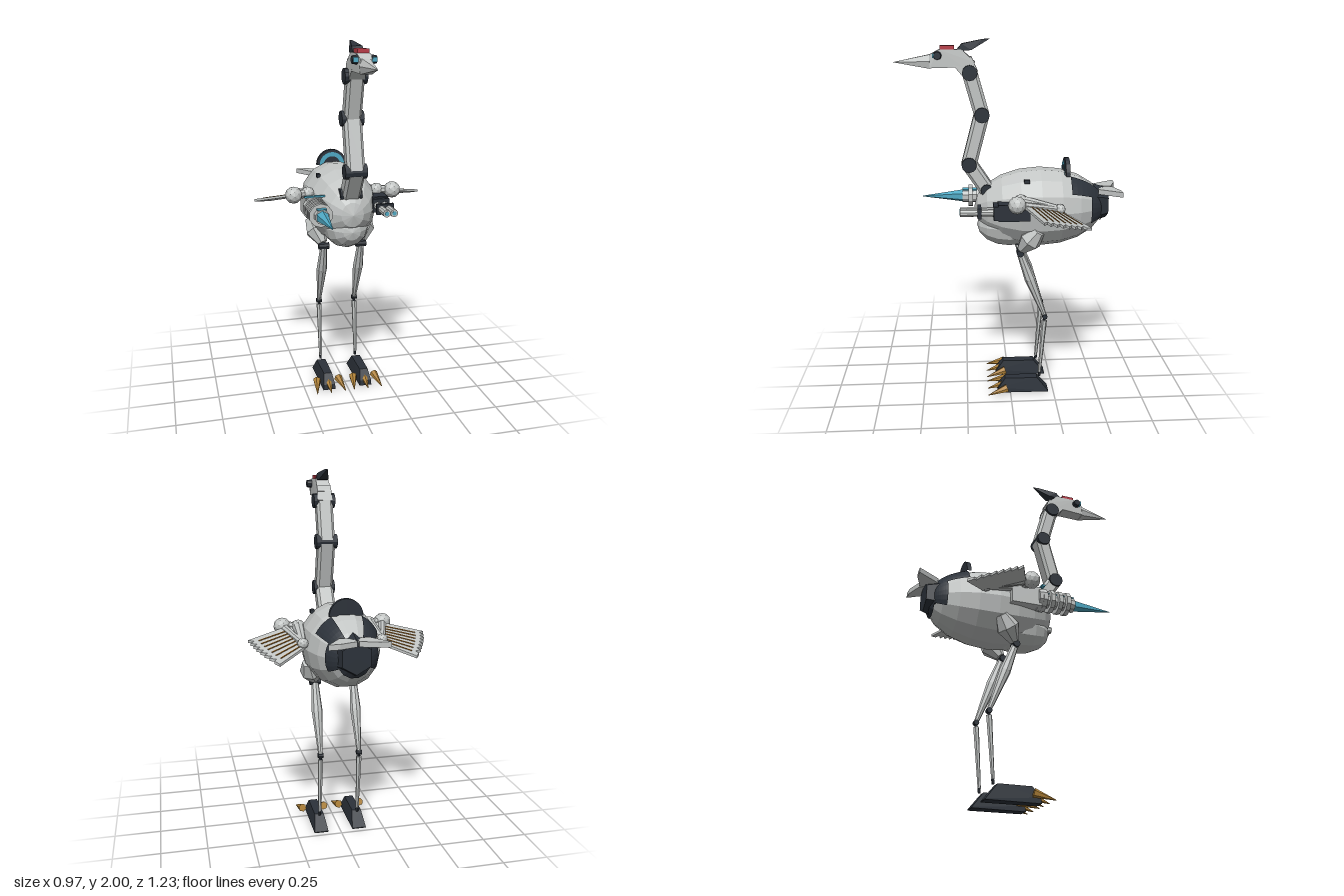
import * as THREE from 'three';
import { ConvexGeometry } from 'three/addons/geometries/ConvexGeometry.js';

const paint = (name, color) => {
  const m = new THREE.MeshStandardMaterial({ color, flatShading: true });
  m.name = name;
  return m;
};
const V = (x, y, z) => new THREE.Vector3(x, y, z);

export function createModel() {
  const light = paint('light grey', 0xc2c5c4);
  const dark = paint('charcoal', 0x2c323a);
  const teal = paint('teal', 0x4fa9c4);
  const red = paint('red', 0xb93c48);
  const gold = paint('gold', 0xb08238);
  const brown = paint('brown', 0x85581f);

  const model = new THREE.Group();
  model.name = 'mechanicalBird';

  const add = (name, geo, mat, x = 0, y = 0, z = 0) => {
    const m = new THREE.Mesh(geo, mat);
    m.name = name;
    m.position.set(x, y, z);
    model.add(m);
    return m;
  };
  const box = (name, mat, w, h, d, x, y, z) => add(name, new THREE.BoxGeometry(w, h, d), mat, x, y, z);
  // tapered cylinder from point a to point b
  const rod = (name, mat, a, b, ra, rb, sides = 8) => {
    const geo = new THREE.CylinderGeometry(rb, ra, a.distanceTo(b), sides);
    const m = add(name, geo, mat);
    m.position.copy(a).lerp(b, 0.5);
    m.quaternion.setFromUnitVectors(V(0, 1, 0), b.clone().sub(a).normalize());
    return m;
  };
  const ball = (name, mat, r, p) => add(name, new THREE.IcosahedronGeometry(r, 1), mat, p.x, p.y, p.z);
  // convex block from rings: [z, y, halfWidth] entries mirrored in x
  const hull = (name, mat, pts, cx = 0) => {
    const all = pts.flatMap(([z, y, w]) => (w ? [V(cx + w, y, z), V(cx - w, y, z)] : [V(cx, y, z)]));
    return add(name, new ConvexGeometry(all), mat);
  };
  // flat plate from an outline of [x, z] points
  const slab = (name, mat, pts, thick, heightAt) => {
    const shape = new THREE.Shape(pts.map(([x, z]) => new THREE.Vector2(x, -z)));
    const geo = new THREE.ExtrudeGeometry(shape, { depth: thick, bevelEnabled: false }).rotateX(-Math.PI / 2);
    const p = geo.attributes.position;
    for (let i = 0; i < p.count; i++) p.setY(i, p.getY(i) + heightAt(p.getX(i), p.getZ(i)));
    geo.computeVertexNormals();
    return add(name, geo, mat);
  };

  // Body: faceted ellipsoid with a lower chest bulge
  const rad = Math.PI / 180;
  const shell = (name, mat, k, ws, hs, p0 = 0, p1 = 360, t0 = 0, t1 = 180) =>
    add(name, new THREE.SphereGeometry(1, ws, hs, p0 * rad, (p1 - p0) * rad, t0 * rad, (t1 - t0) * rad)
      .rotateX(-Math.PI / 2).scale(0.205 * k, 0.222 * k, 0.365 * k), mat, 0, 1.085, -0.17);
  shell('body', light, 1, 14, 10);
  add('chest', new THREE.SphereGeometry(1, 12, 8).rotateX(Math.PI / 2).scale(0.13, 0.125, 0.18), light, 0, 0.985, 0);

  // Dark rump armour
  shell('rumpCap', dark, 1.02, 14, 3, 0, 360, 0, 26);
  for (const [a, b, c, d] of [[30, 65, 115, 150], [-28, 30, 150, 208]]) {
    const reach = a === 30 ? 64 : 42;
    shell('rumpPanelLeft', dark, 1.02, 5, 8, c, d, 20, reach);
    shell('rumpPanelRight', dark, 1.02, 5, 8, a, b, 20, reach);
  }
  rod('rumpBlock', dark, V(0, 1.1, -0.46), V(0, 1.1, -0.55), 0.115, 0.085, 6);

  // Arched back fin with a glowing front rim
  const arch = (r) => new THREE.CylinderGeometry(r, r, 1, 12, 1, false, Math.PI / 2, Math.PI).rotateX(Math.PI / 2);
  add('backFin', arch(0.09).scale(1, 1, 0.024), dark, 0, 1.27, -0.32);
  add('backFinGlow', new THREE.RingGeometry(0.05, 0.075, 12, 1, 0, Math.PI), teal, 0, 1.27, -0.303);

  // Neck: chamfered links between disc joints
  const link = (name, a, b, w, d) => {
    const c = 0.015, x = w / 2, y = d / 2;
    const s = new THREE.Shape([[x, y - c], [x - c, y], [c - x, y], [-x, y - c], [-x, c - y], [c - x, -y], [x - c, -y], [x, c - y]]
      .map(([u, v]) => new THREE.Vector2(u, v)));
    const m = add(name, new THREE.ExtrudeGeometry(s, { depth: a.distanceTo(b), bevelEnabled: false }), light);
    m.position.copy(a);
    m.lookAt(b);
  };
  const joints = [V(0, 1.19, 0.125), V(0, 1.333, 0.22), V(0, 1.603, 0.148), V(0, 1.825, 0.21)];
  joints.forEach((p, i) => {
    const r = i ? 0.041 : 0.034;
    rod('neckJoint', dark, V(-0.06, p.y, p.z), V(0.06, p.y, p.z), r, r, 12);
    if (i) link('neckLink', joints[i - 1], p, 0.104 - i * 0.004, 0.082);
  });
  hull('neckTop', light, [[0.165, 1.83, 0.042], [0.25, 1.81, 0.042], [0.2, 1.91, 0.038], [0.3, 1.87, 0.038]]);

  // Head, beak, crown and crest
  hull('head', light, [[0.42, 1.85, 0.035], [0.42, 1.92, 0.03], [0.37, 1.945, 0.035], [0.25, 1.945, 0.035],
    [0.18, 1.88, 0.04], [0.24, 1.855, 0.04]]);
  hull('beak', light, [[0.42, 1.847, 0.03], [0.42, 1.885, 0.038], [0.42, 1.92, 0.02], [0.614, 1.88, 0]]);
  box('crown', red, 0.06, 0.022, 0.075, 0, 1.954, 0.328);
  hull('crest', dark, [[0.285, 1.935, 0.03], [0.25, 1.975, 0.028], [0.2, 1.942, 0.028], [0.14, 1.998, 0.008], [0.1, 2, 0]]);

  // Tail plates
  for (const s of [1, -1]) {
    slab('tailFeather', light, [[0.005, -0.54], [0.005, -0.575], [0.1, -0.61], [0.157, -0.612], [0.075, -0.49], [0.03, -0.5]]
      .map(([x, z]) => [s * x, z]), 0.028, () => 1.165);
  }

  const wingHeight = (x, z) => 1.162 + 0.29 * (z + 0.02) - 0.065 * (Math.abs(x) - 0.28);
  for (const s of [1, -1]) {
    // Eyes and small body vents
    rod('eyeSocket', dark, V(s * 0.03, 1.915, 0.378), V(s * 0.062, 1.915, 0.378), 0.024, 0.02, 8);
    box('eye', teal, 0.024, 0.024, 0.008, s * 0.048, 1.915, 0.4);
    for (const y of [1.255, 0.925]) box('vent', dark, 0.02, 0.02, 0.03, s * 0.131, y, -0.09);

    // Wing fan with a stepped outer edge and thin quills
    const n = 8;
    const root = (t) => [0.205 + 0.035 * t, -0.275 + 0.225 * t];
    const tip = (t) => [0.36 + 0.127 * t + 0.07 * t * (1 - t), -0.41 + 0.264 * t];
    const mix = (t, k) => root(t).map((v, i) => v + (tip(t)[i] - v) * k);
    const outline = [root(0)];
    for (let i = 0; i < n; i++) outline.push(mix((i + 0.1) / n, 0.9), mix((i + 0.95) / n, 1));
    outline[1] = tip(0);
    outline.push([0.3, -0.065], root(1));
    slab('wingFan', light, outline.map(([x, z]) => [s * x, z]), 0.014, wingHeight);
    for (let i = 0; i < n - 1; i++) {
      const t = (i + 0.8) / n, a = mix(t, 0.12), b = mix(t, 0.82);
      const l = Math.hypot(b[0] - a[0], b[1] - a[1]);
      const u = -(b[1] - a[1]) / l * 0.003, v = (b[0] - a[0]) / l * 0.003;
      slab('quill', brown, [[a[0] + u, a[1] + v], [b[0] + u, b[1] + v], [b[0] - u, b[1] - v], [a[0] - u, a[1] - v]]
        .map(([x, z]) => [s * x, z]), 0.004, (x, z) => wingHeight(x, z) + 0.0135);
    }

    // Wing arm
    const shoulder = V(s * 0.2, 1.165, -0.05), elbow = V(s * 0.285, 1.165, -0.025), wrist = V(s * 0.215, 1.12, -0.26);
    ball('shoulder', light, 0.038, shoulder);
    ball('elbow', light, 0.048, elbow);
    ball('wrist', light, 0.03, wrist);
    rod('upperArm', light, shoulder, elbow, 0.025, 0.025);
    rod('forearm', light, elbow, wrist, 0.024, 0.016);
    rod('armBrace', light, shoulder, wrist, 0.034, 0.02);

    // Leg
    const x = s * 0.11;
    rod('thigh', light, V(s * 0.165, 0.99, -0.155), V(s * 0.14, 0.93, -0.11), 0.035, 0.065, 7);
    rod('thighTaper', light, V(s * 0.14, 0.93, -0.11), V(s * 0.115, 0.865, -0.062), 0.065, 0.028, 7);
    rod('knee', dark, V(x - 0.03, 0.848, -0.055), V(x + 0.03, 0.848, -0.055), 0.02, 0.02);
    const top = V(x, 0.84, -0.058), bulge = V(x, 0.69, -0.112), ankle = V(x, 0.462, -0.198), base = V(x, 0.085, -0.17);
    rod('upperShin', light, top, bulge, 0.02, 0.031);
    rod('lowerShin', light, bulge, ankle, 0.031, 0.012);
    rod('ankle', dark, V(x - 0.015, 0.46, -0.198), V(x + 0.015, 0.46, -0.198), 0.015, 0.015);
    rod('shank', light, V(x, 0.435, -0.196), V(x, 0.11, -0.171), 0.016, 0.009, 6);
    rod('shankCore', dark, ankle, base, 0.008, 0.008, 6);

    // Foot and claws
    hull('foot', dark, [[0.03, 0.085, 0.024], [-0.155, 0.085, 0.026], [-0.22, 0.005, 0.04], [-0.22, 0, 0.04],
      [0.075, 0, 0.036], [0.07, 0.03, 0.034]], x);
    rod('middleClaw', gold, V(x, 0.042, 0.03), V(x, 0.01, 0.13), 0.024, 0.002, 6);
    for (const k of [1, -1])
      rod('sideClaw', gold, V(x + k * 0.064, 0.044, 0.02), V(x + k * 0.084, 0.012, 0.13), 0.024, 0.002, 6);
  }

  // Ringed lance on the right side
  const lx = -0.185, ly = 1.106;
  box('lanceMount', light, 0.09, 0.11, 0.17, lx, ly, -0.03);
  box('lanceMountGlow', teal, 0.115, 0.009, 0.02, lx, 1.172, 0.062);
  rod('lanceBacking', light, V(lx, ly, 0.04), V(lx, ly, 0.07), 0.064, 0.064, 10);
  rod('lanceCore', light, V(lx, ly, 0.05), V(lx, ly, 0.26), 0.04, 0.04, 10);
  box('lanceCoreGlow', teal, 0.05, 0.006, 0.2, lx, ly + 0.038, 0.158);
  for (let i = 0; i < 4; i++) {
    const z = 0.075 + i * 0.046;
    rod('lanceRing', light, V(lx, ly, z - 0.012), V(lx, ly, z + 0.012), 0.065, 0.065, 10);
  }
  rod('lanceTip', teal, V(lx, ly, 0.255), V(lx, ly, 0.49), 0.036, 0.002, 6);

  // Twin-barrel blaster on the left side
  box('blasterHousing', dark, 0.09, 0.09, 0.17, 0.187, 1.106, -0.015);
  box('blasterCollar', dark, 0.096, 0.075, 0.03, 0.185, 1.106, 0.08);
  box('blasterBand', dark, 0.096, 0.058, 0.02, 0.183, 1.106, 0.17);
  for (const x of [0.163, 0.204]) {
    rod('barrel', light, V(x, 1.106, 0.06), V(x, 1.106, 0.273), 0.021, 0.021, 10);
    rod('muzzle', teal, V(x, 1.106, 0.27), V(x, 1.106, 0.276), 0.012, 0.012, 8);
  }
  return model;
}
